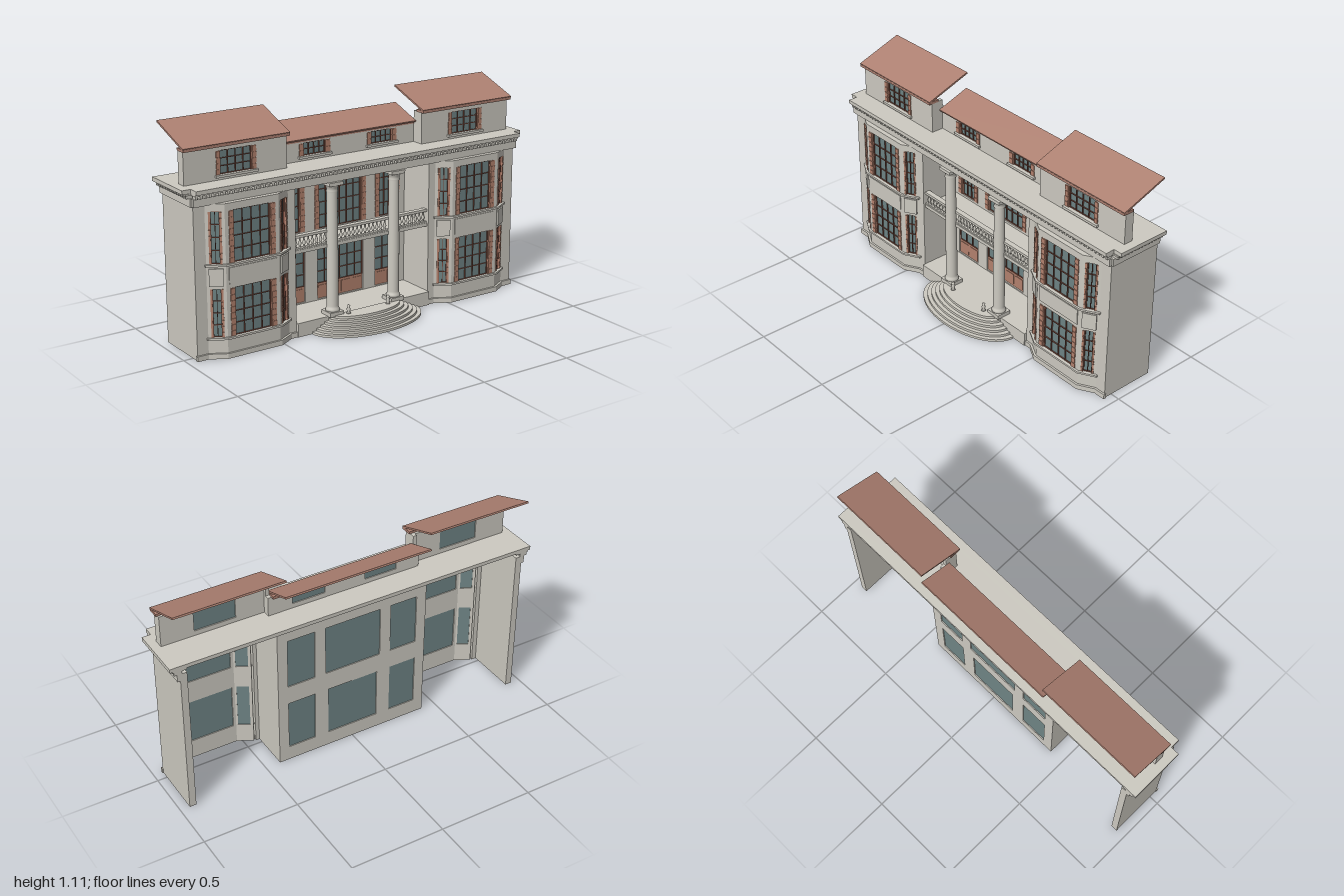
import * as THREE from 'three';

const mat = (name, color) => {
  const m = new THREE.MeshStandardMaterial({ color });
  m.name = name;
  return m;
};

export function createModel() {
  const root = new THREE.Group();
  root.name = 'mansionFacade';
  const stone = mat('stone', 0xcdcac1);
  const tile = mat('roofTile', 0xae8172);
  const brick = mat('brickTrim', 0xb4826e);
  const wood = mat('windowWood', 0x74483b);
  const glass = mat('glass', 0x6f8485);

  const add = (parent, name, geo, m, x = 0, y = 0, z = 0) => {
    const mesh = new THREE.Mesh(geo, m);
    mesh.name = name;
    mesh.position.set(x, y, z);
    parent.add(mesh);
    return mesh;
  };
  // box given by its limits on each axis
  const box = (parent, name, m, x0, x1, y0, y1, z0, z1) =>
    add(parent, name, new THREE.BoxGeometry(Math.abs(x1 - x0), y1 - y0, z1 - z0), m,
      (x0 + x1) / 2, (y0 + y1) / 2, (z0 + z1) / 2);
  // horizontal slab from an outline of [x, z] points
  const slab = (name, m, pts, y0, y1) => {
    const shape = new THREE.Shape(pts.map(([x, z]) => new THREE.Vector2(x, -z)));
    const geo = new THREE.ExtrudeGeometry(shape, { depth: y1 - y0, bevelEnabled: false });
    geo.rotateX(-Math.PI / 2);
    return add(root, name, geo, m, 0, y0, 0);
  };
  const lathe = (name, pts, sides, x, y, z) =>
    add(root, name, new THREE.LatheGeometry(pts.map(p => new THREE.Vector2(...p)), sides), stone, x, y, z);

  // glazed window filling an opening; door gives the height of a solid lower panel
  const windowUnit = (parent, o, depth) => {
    const g = new THREE.Group();
    g.name = o.door ? 'door' : 'window';
    g.position.set(o.x, o.y, 0);
    parent.add(g);
    const { w, h, cols = 4, rows = 3, trim = 0, door = 0 } = o;
    const zf = -0.012, t = 0.003, gw = w - 2 * trim;
    box(g, 'pane', glass, -w / 2, w / 2, 0, h, -depth + 0.005, zf);
    for (let i = 0; i <= cols; i++) {
      const x = -gw / 2 + t / 2 + (gw - t) * i / cols;
      box(g, 'mullion', wood, x - t / 2, x + t / 2, door, h, zf, zf + 0.007);
    }
    for (let j = 0; j <= rows; j++) {
      const y = door + t / 2 + (h - door - t) * j / rows;
      box(g, 'glazingBar', wood, -gw / 2, gw / 2, y - t / 2, y + t / 2, zf, zf + 0.006);
    }
    if (door) {
      const n = Math.max(2, Math.round(w / 0.07));
      box(g, 'doorLeaf', brick, -w / 2, w / 2, 0, door, zf, zf + 0.005);
      for (let i = 0; i < n; i++) {
        const x = -w / 2 + w * i / n;
        box(g, 'doorPanel', brick, x + 0.008, x + w / n - 0.008, 0.01, door - 0.01, zf, zf + 0.008);
      }
    }
    // brick jambs with shallow courses
    if (trim) for (const s of [-1, 1]) {
      box(g, 'brickJamb', brick, s * gw / 2, s * w / 2, 0, h, zf, 0.001);
      const n = Math.round(h / 0.03);
      for (let i = 0; i < n; i++)
        box(g, 'brickCourse', brick, s * (gw / 2 + 0.002), s * w / 2, h * (i + 0.1) / n, h * (i + 0.9) / n, zf, 0.004);
    }
    if (o.sill) box(g, 'sill', stone, -w / 2 - 0.006, w / 2 + 0.006, -0.012, 0, -0.005, 0.014);
  };

  // upright wall from a to b ([x, z]) with windows cut through it
  const wall = (name, a, b, y0, y1, depth, openings = []) => {
    const g = new THREE.Group();
    g.name = name;
    const dx = b[0] - a[0], dz = b[1] - a[1], len = Math.hypot(dx, dz);
    g.position.set((a[0] + b[0]) / 2, 0, (a[1] + b[1]) / 2);
    g.rotation.y = -Math.atan2(dz, dx);
    root.add(g);
    const rect = (P, x0, x1, b0, b1) => {
      const p = new P();
      p.moveTo(x0, b0); p.lineTo(x1, b0); p.lineTo(x1, b1); p.lineTo(x0, b1); p.closePath();
      return p;
    };
    const shape = rect(THREE.Shape, -len / 2, len / 2, y0, y1);
    for (const o of openings) shape.holes.push(rect(THREE.Path, o.x - o.w / 2, o.x + o.w / 2, o.y, o.y + o.h));
    add(g, name + 'Panel', new THREE.ExtrudeGeometry(shape, { depth, bevelEnabled: false }), stone, 0, 0, -depth);
    for (const o of openings) windowUnit(g, o, depth);
    return g;
  };

  const F = 0.045, B = 0.09;      // front wall and bay planes
  const D0 = 0.796, D1 = 0.812;   // open dentil course
  for (const s of [-1, 1]) {
    // side wall and portico cheek wall
    box(root, 'sideWall', stone, s * 0.915, s * 0.95, 0, D0, -0.25, F);
    box(root, 'porticoCheek', stone, s * 0.4, s * 0.42, 0, D0, -0.188, F);

    // front wall with its canted bay
    const line = [[0.40, F], [0.44, F], [0.52, B], [0.81, B], [0.89, F], [0.95, F]];
    const pts = s > 0 ? line : line.map(([x, z]) => [-x, z]).reverse();
    for (let i = 0; i < 5; i++) {
      const opens = [];
      for (const [y, h] of [[0.105, 0.24], [0.468, 0.255]]) {
        if (i === 2) opens.push({ x: 0, y, w: 0.25, h, cols: 4, rows: 4, trim: 0.027 });
        if (i === 1 || i === 3) opens.push({ x: 0, y, w: 0.062, h, cols: 2, rows: 4, trim: 0.01 });
      }
      const g = wall(i === 0 || i === 4 ? 'frontWall' : 'bayWall', pts[i], pts[i + 1], 0, 0.757, 0.02, opens);
      if (i === 1 || i === 3) box(g, 'raisedPanel', stone, -0.035, 0.035, 0.362, 0.447, -0.002, 0.008);
      if (i === 2) box(g, 'raisedPanel', stone, -0.13, 0.13, 0.365, 0.447, -0.002, 0.004);
    }
    // mouldings following the bay
    const band = (name, out, y0, y1, from, to) => {
      const k = out * 0.5;
      const p = [[from, 0.04], [from, F + out], [0.44 - k, F + out], [0.52 - k, B + out], [0.81 + k, B + out],
        [0.89 + k, F + out], [to, F + out], [to, 0.04], [0.88, 0.035], [0.8, 0.075], [0.53, 0.075], [0.45, 0.035]];
      slab(name, stone, p.map(([x, z]) => [s * x, z]), y0, y1);
    };
    band('plinth', 0.01, 0, 0.026, 0.40, 0.955);
    band('lowerSill', 0.011, 0.095, 0.105, 0.432, 0.898);
    band('upperSill', 0.011, 0.458, 0.468, 0.432, 0.898);
    slab('bayCap', stone, [[0.44, 0.03], [0.44, F], [0.52, B], [0.81, B], [0.89, F], [0.89, 0.03]].map(([x, z]) => [s * x, z]), 0.745, 0.759);

    // column
    lathe('column', [[0, 0], [0.036, 0], [0.036, 0.012], [0.031, 0.018], [0.029, 0.03], [0.03, 0.25], [0.026, 0.61],
      [0.03, 0.615], [0.027, 0.622], [0.028, 0.635], [0.037, 0.65], [0.037, 0.655], [0, 0.655]], 24, s * 0.185, 0.09, 0.04);
    box(root, 'columnPlinth', stone, s * 0.145, s * 0.225, 0.07, 0.092, 0, 0.08);
    box(root, 'columnAbacus', stone, s * 0.145, s * 0.225, 0.74, 0.757, 0, 0.08);

    // small entrance ornament
    lathe('entranceUrn', [[0, 0], [0.012, 0], [0.007, 0.01], [0.011, 0.022], [0.006, 0.032], [0.009, 0.04], [0, 0.048]],
      10, s * 0.12, 0.075, 0.085);

    // side cornice with free-standing dentils
    box(root, 'sideFrieze', stone, s * 0.915, s * 0.965, 0.757, D0, -0.25, F + 0.005);
    box(root, 'sideBed', stone, s * 0.915, s * 0.985, D1, 0.82, -0.25, F);
    for (let i = 0; i < 14; i++) {
      const z = -0.25 + i * 0.0215;
      box(root, 'sideDentil', stone, s * 0.94, s * 0.98, D0, D1, z, z + 0.009);
    }

    // side attic storey
    wall('atticWall', [s * 0.678 - 0.278, -0.022], [s * 0.678 + 0.278, -0.022], 0.83, 1.003, 0.05,
      [{ x: 0, y: 0.865, w: 0.215, h: 0.115, cols: 4, rows: 3, trim: 0.023, sill: true }]);
    box(root, 'atticReturn', stone, s * 0.4, s * 0.42, 0.83, 1.003, -0.088, -0.07);
    box(root, 'atticEave', tile, s * 0.395, s * 0.965, 1.002, 1.015, -0.06, -0.001);
  }

  // sloping roof plates
  const roof = (name, x0, x1, zf, yf, zb, yb) => {
    const len = Math.hypot(zf - zb, yb - yf);
    const m = add(root, name, new THREE.BoxGeometry(x1 - x0, 0.009, len), tile, (x0 + x1) / 2, (yf + yb) / 2, (zf + zb) / 2);
    m.rotation.x = Math.atan2(yb - yf, zf - zb) + Math.PI;
  };
  roof('leftRoof', 0.393, 0.967, -0.002, 1.015, -0.247, 1.103);
  roof('rightRoof', -0.967, -0.393, -0.002, 1.015, -0.247, 1.103);
  roof('middleRoof', -0.4, 0.4, -0.07, 0.949, -0.247, 1.012);

  // middle attic storey
  wall('middleAtticWall', [-0.42, -0.088], [0.42, -0.088], 0.83, 0.94, 0.022,
    [-0.2, 0.2].map(x => ({ x, y: 0.865, w: 0.178, h: 0.063, cols: 4, rows: 2, trim: 0.026, sill: true })));
  box(root, 'middleEave', tile, -0.4, 0.4, 0.935, 0.95, -0.125, -0.085);

  // main cornice
  box(root, 'roofDeck', stone, -1, 1, 0.82, 0.84, -0.25, 0.04);
  box(root, 'frontCorona', stone, -0.955, 0.955, 0.82, 0.84, 0.04, 0.09);
  box(root, 'frontBed', stone, -0.955, 0.955, D1, 0.82, 0.03, 0.08);
  box(root, 'frontFrieze', stone, -0.955, 0.955, 0.757, D0, 0.02, 0.065);
  for (let i = 0; i < 80; i++) {
    const x = -0.95 + i * 0.0239;
    box(root, 'frontDentil', stone, x, x + 0.011, D0, D1, 0.045, 0.076);
  }

  // recessed entrance wall with doors below and windows above
  const cells = [[-0.29, 0.15], [0, 0.28], [0.29, 0.15]];
  wall('entranceWall', [-0.4, -0.163], [0.4, -0.163], 0, D0, 0.025, [
    ...cells.map(([x, w]) => ({ x, w, y: 0.078, h: 0.27, door: 0.08, cols: x ? 3 : 6, rows: 3 })),
    ...cells.map(([x, w]) => ({ x, w: x ? w : 0.31, y: 0.45, h: 0.27, cols: x ? 3 : 6, rows: 4, trim: 0.028 })),
  ]);

  // portico floor, steps and balcony
  box(root, 'porticoFloor', stone, -0.4, 0.4, 0, 0.072, -0.188, 0.06);
  for (let i = 0; i < 6; i++) {
    const pts = [], rx = 0.32 - i * 0.024, rz = 0.185 - i * 0.019;
    for (let k = 0; k <= 40; k++) {
      const a = Math.PI * k / 40;
      pts.push([rx * Math.cos(a), 0.062 + rz * Math.sin(a)]);
    }
    slab('step', stone, pts, i * 0.0125, (i + 1) * 0.0125);
  }
  box(root, 'balconySlab', stone, -0.4, 0.4, 0.42, 0.438, -0.17, 0.035);
  box(root, 'balconyRail', stone, -0.4, 0.4, 0.498, 0.511, 0.006, 0.034);
  box(root, 'balconyKerb', stone, -0.4, 0.4, 0.438, 0.445, 0.008, 0.032);
  for (let i = 0; i < 33; i++) {
    const x = -0.384 + i * 0.024;
    if (Math.abs(Math.abs(x) - 0.185) > 0.03)
      lathe('baluster', [[0.007, 0], [0.004, 0.008], [0.009, 0.02], [0.004, 0.038], [0.004, 0.046], [0.008, 0.054]], 10, x, 0.445, 0.02);
  }
  return root;
}
